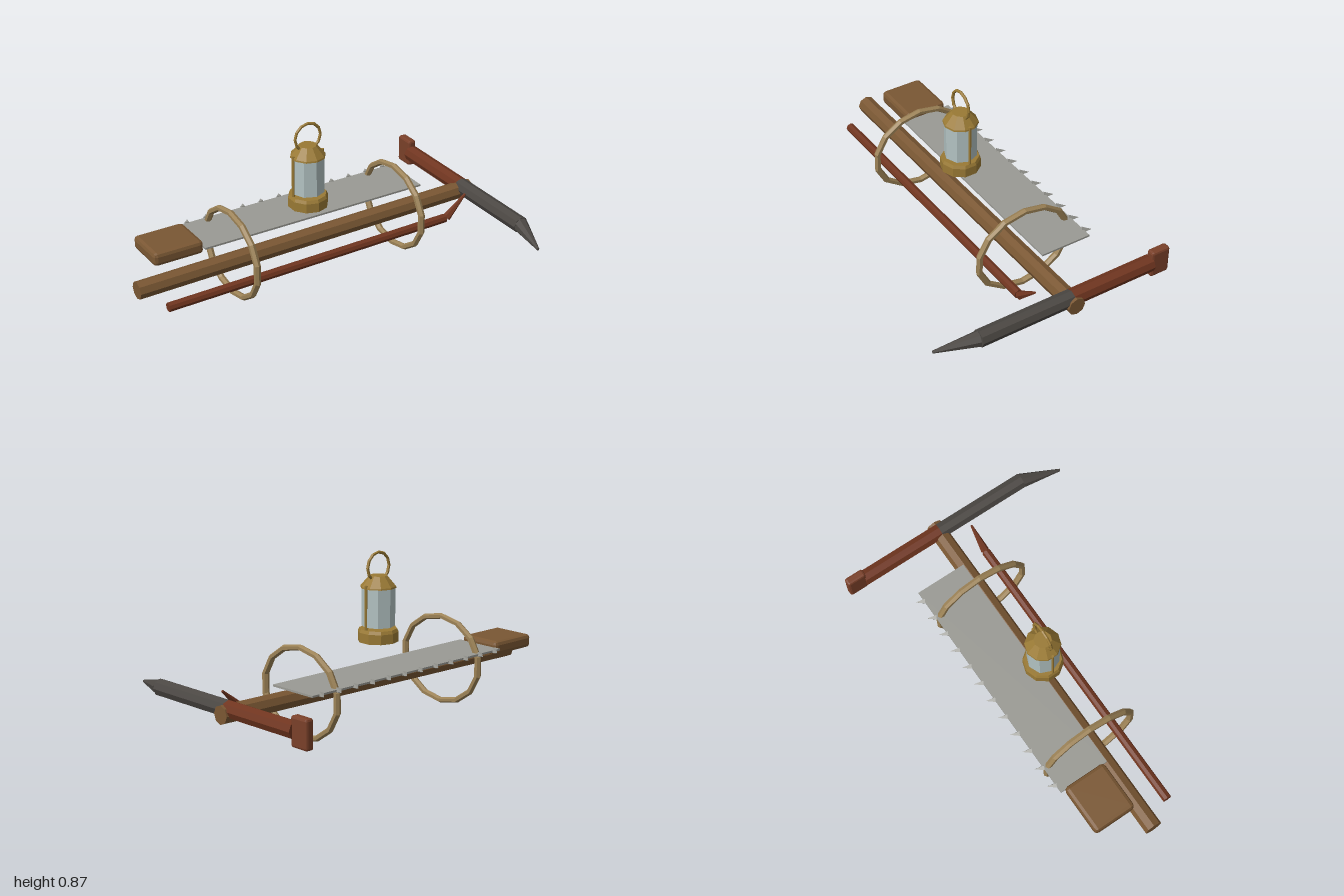
import * as THREE from 'three';
import { RoundedBoxGeometry } from 'three/addons/geometries/RoundedBoxGeometry.js';

const mat = (color) => new THREE.MeshStandardMaterial({ color, flatShading: true });
const wood = mat(0x7a5733), redWood = mat(0x70351f), paleRed = mat(0x7a4029), rope = mat(0x9c8256);
const iron = mat(0x4b4743), steel = mat(0x9a9a94), brass = mat(0x9a7a35), glass = mat(0xb2c2c2);

export function createModel() {
  const model = new THREE.Group();

  function add(parent, name, geometry, material, x = 0, y = 0, z = 0) {
    const mesh = new THREE.Mesh(geometry, material);
    mesh.name = name;
    mesh.position.set(x, y, z);
    parent.add(mesh);
    return mesh;
  }

  // Straight or tapered bar running from a to b
  function bar(parent, name, a, b, ra, rb, sides, material) {
    const from = new THREE.Vector3(...a), to = new THREE.Vector3(...b);
    const dir = to.clone().sub(from);
    const mid = from.add(to).multiplyScalar(0.5);
    const mesh = add(parent, name, new THREE.CylinderGeometry(rb, ra, dir.length(), sides), material, mid.x, mid.y, mid.z);
    mesh.quaternion.setFromUnitVectors(new THREE.Vector3(0, 1, 0), dir.normalize());
    return mesh;
  }

  function group(name) {
    const g = new THREE.Group();
    g.name = name;
    model.add(g);
    return g;
  }

  // Main carrying pole
  bar(model, 'pole', [-1, 0.202, -0.086], [1, 0.225, -0.086], 0.047, 0.047, 8, wood);

  // Thin bar with a bent, tapered tip
  const pryBar = group('pryBar');
  bar(pryBar, 'pryBarShaft', [-0.91, 0.158, 0.068], [0.735, 0.178, 0.068], 0.024, 0.024, 8, redWood);
  bar(pryBar, 'pryBarTip', [0.745, 0.178, 0.068], [0.865, 0.285, 0.066], 0.023, 0.006, 6, redWood);

  // Two oval rope hoops
  for (const x of [-0.46, 0.52]) {
    const hoop = new THREE.TorusGeometry(0.265, 0.018, 6, 14);
    hoop.rotateZ(Math.PI / 2).rotateY(Math.PI / 2).scale(1, 0.853, 1);
    add(model, 'ropeHoop', hoop, rope, x, 0.243, -0.105);
  }

  // Saw: handle, flat blade and a row of raked teeth
  const saw = group('saw');
  add(saw, 'sawHandle', new RoundedBoxGeometry(0.275, 0.072, 0.238, 1, 0.02), wood, -0.743, 0.311, -0.239);
  add(saw, 'sawBlade', new THREE.BoxGeometry(1.3, 0.01, 0.28), steel, 0.04, 0.312, -0.24);
  for (let i = 0; i < 12; i++) {
    const x = -0.566 + i * 0.109;
    bar(saw, 'sawTooth', [x, 0.312, -0.376], [x + 0.022, 0.312, -0.421], 0.017, 0, 4, steel);
  }

  // Pick across the end of the pole
  const pick = group('pick');
  bar(pick, 'pickIronArm', [0.95, 0.245, -0.085], [0.95, 0.245, 0.44], 0.044, 0.044, 8, iron);
  bar(pick, 'pickSpike', [0.95, 0.245, 0.435], [0.892, 0.223, 0.655], 0.041, 0.007, 8, iron);
  bar(pick, 'pickWoodArm', [0.95, 0.245, -0.56], [0.95, 0.245, -0.085], 0.044, 0.044, 8, redWood);
  add(pick, 'pickEndPlate', new RoundedBoxGeometry(0.046, 0.15, 0.108, 1, 0.012), paleRed, 0.953, 0.245, -0.604);

  // Lantern
  const lantern = group('lantern');
  lantern.position.set(-0.023, 0, -0.083);
  const basePoints = [[0, 0.408], [0.104, 0.408], [0.104, 0.458], [0.096, 0.474], [0, 0.474]];
  const capPoints = [[0, 0.682], [0.092, 0.682], [0.09, 0.69], [0.045, 0.743], [0, 0.743]];
  const lathe = (points) => new THREE.LatheGeometry(points.map((p) => new THREE.Vector2(...p)), 10);
  add(lantern, 'lanternBase', lathe(basePoints), brass);
  add(lantern, 'lanternGlass', new THREE.CylinderGeometry(0.085, 0.085, 0.2, 8), glass, 0, 0.586, 0);
  add(lantern, 'lanternCap', lathe(capPoints), brass);
  for (const side of [-1, 1]) {
    bar(lantern, 'lanternPost', [side * 0.086, 0.474, 0], [side * 0.086, 0.7, 0], 0.008, 0.008, 6, brass);
  }
  add(lantern, 'lanternRing', new THREE.TorusGeometry(0.074, 0.008, 6, 12), brass, 0, 0.786, 0);

  return model;
}
